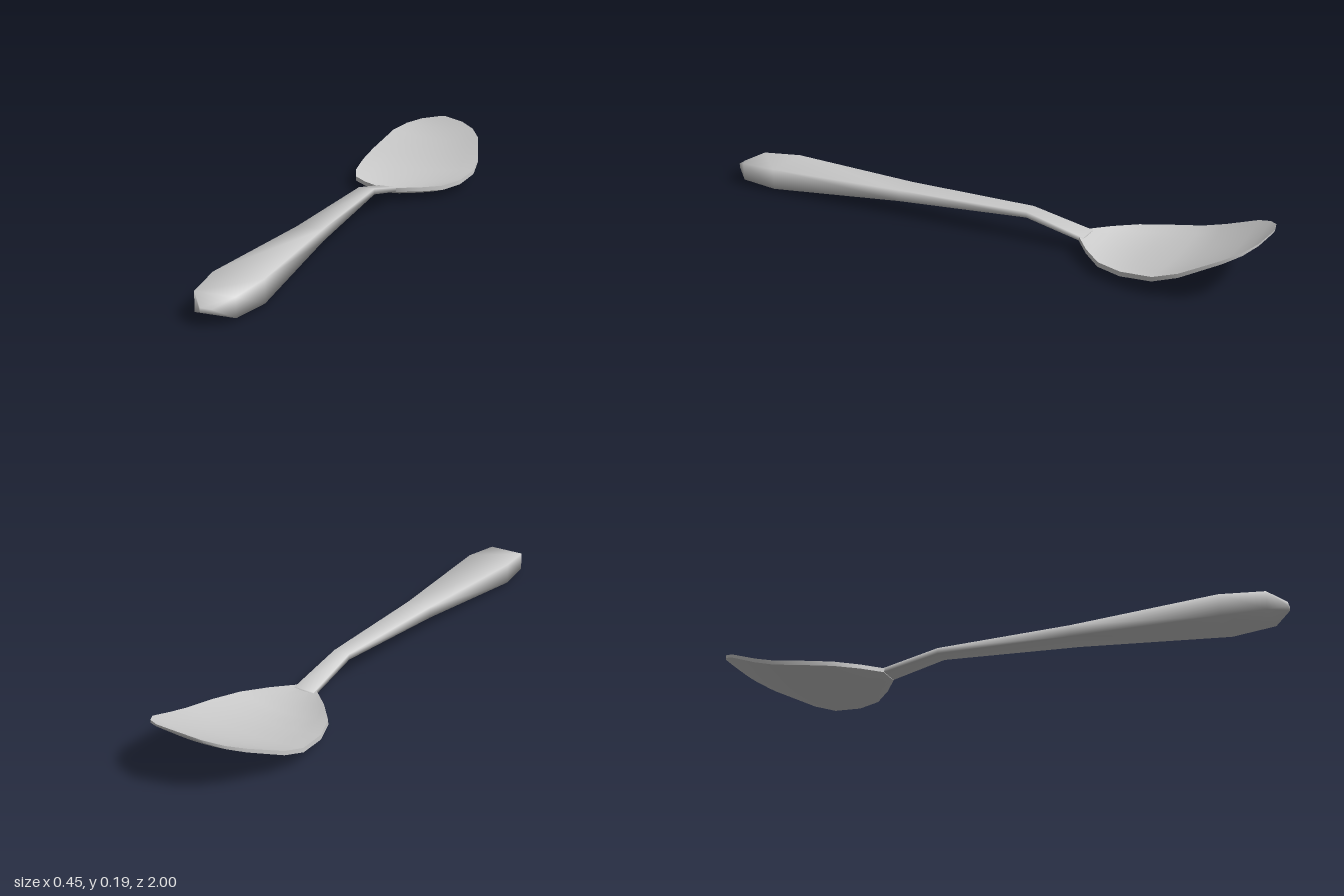
import * as THREE from 'three';
import { toCreasedNormals } from 'three/addons/utils/BufferGeometryUtils.js';

// Closed skin over equal-sized rings running from +z to -z
// (each ring: top edge from +x to -x, then bottom edge back).
function loft(rings) {
  const n = rings[0].length, last = (rings.length - 1) * n;
  const index = [];
  for (let i = 0; i < rings.length - 1; i++) {
    for (let j = 0; j < n; j++) {
      const k = (j + 1) % n;
      const a = i * n + j, b = i * n + k, c = b + n, d = a + n;
      index.push(a, d, b, b, d, c);
    }
  }
  // end caps, joining the top edge to the bottom edge
  for (let j = 0; j < n / 2 - 1; j++) {
    const k = j + 1, p = n - 1 - j, q = n - 2 - j;
    index.push(j, k, p, k, q, p);
    index.push(last + j, last + p, last + k, last + k, last + p, last + q);
  }
  const geometry = new THREE.BufferGeometry();
  geometry.setAttribute('position', new THREE.Float32BufferAttribute(rings.flat(2), 3));
  geometry.setIndex(index);
  geometry.computeVertexNormals();
  return geometry;
}

export function createModel() {
  const steel = new THREE.MeshStandardMaterial({ color: 0xcccccc });
  steel.name = 'steel';
  const group = new THREE.Group();
  group.name = 'spoon';

  // Handle: z, half width, top, bottom
  const handleSections = [
    [1.0, 0.018, 0.05, 0.036],
    [0.945, 0.065, 0.075, 0.013],
    [0.8, 0.083, 0.084, 0.01],
    [0.3, 0.045, 0.086, 0.046],
    [-0.18, 0.029, 0.095, 0.075],
    [-0.39, 0.037, 0.049, 0.033],
  ];
  const handle = new THREE.Mesh(loft(handleSections.map(([z, w, top, bottom]) => [
    [w, top, z], [-w, top, z], [-w, bottom, z], [w, bottom, z],
  ])), steel);
  handle.name = 'handle';

  // Bowl: z, half width, rim height, lowest point underneath, thickness
  const bowlSections = [
    [-0.375, 0.037, 0.05, 0.034, 0.015],
    [-0.43, 0.105, 0.045, 0.014, 0.015],
    [-0.5, 0.17, 0.041, 0.0, 0.016],
    [-0.59, 0.207, 0.044, 0.007, 0.016],
    [-0.7, 0.223, 0.057, 0.024, 0.015],
    [-0.78, 0.214, 0.082, 0.049, 0.014],
    [-0.9, 0.175, 0.135, 0.104, 0.012],
    [-0.95, 0.137, 0.156, 0.136, 0.01],
    [-0.982, 0.085, 0.172, 0.162, 0.007],
    [-1.0, 0.008, 0.185, 0.18, 0.005],
  ];
  const columns = 8;
  const bowlRings = bowlSections.map(([z, w, rim, low, thick]) => {
    const top = [], under = [];
    for (let j = 0; j <= columns; j++) {
      const t = 1 - (2 * j) / columns;
      const y = rim - (rim - thick - low) * (1 - t * t);
      top.push([w * t, y, z]);
      under.unshift([w * t, y - thick, z]);
    }
    return [...top, ...under];
  });
  const bowl = new THREE.Mesh(toCreasedNormals(loft(bowlRings), 0.8), steel);
  bowl.name = 'bowl';

  group.add(handle, bowl);
  return group;
}
